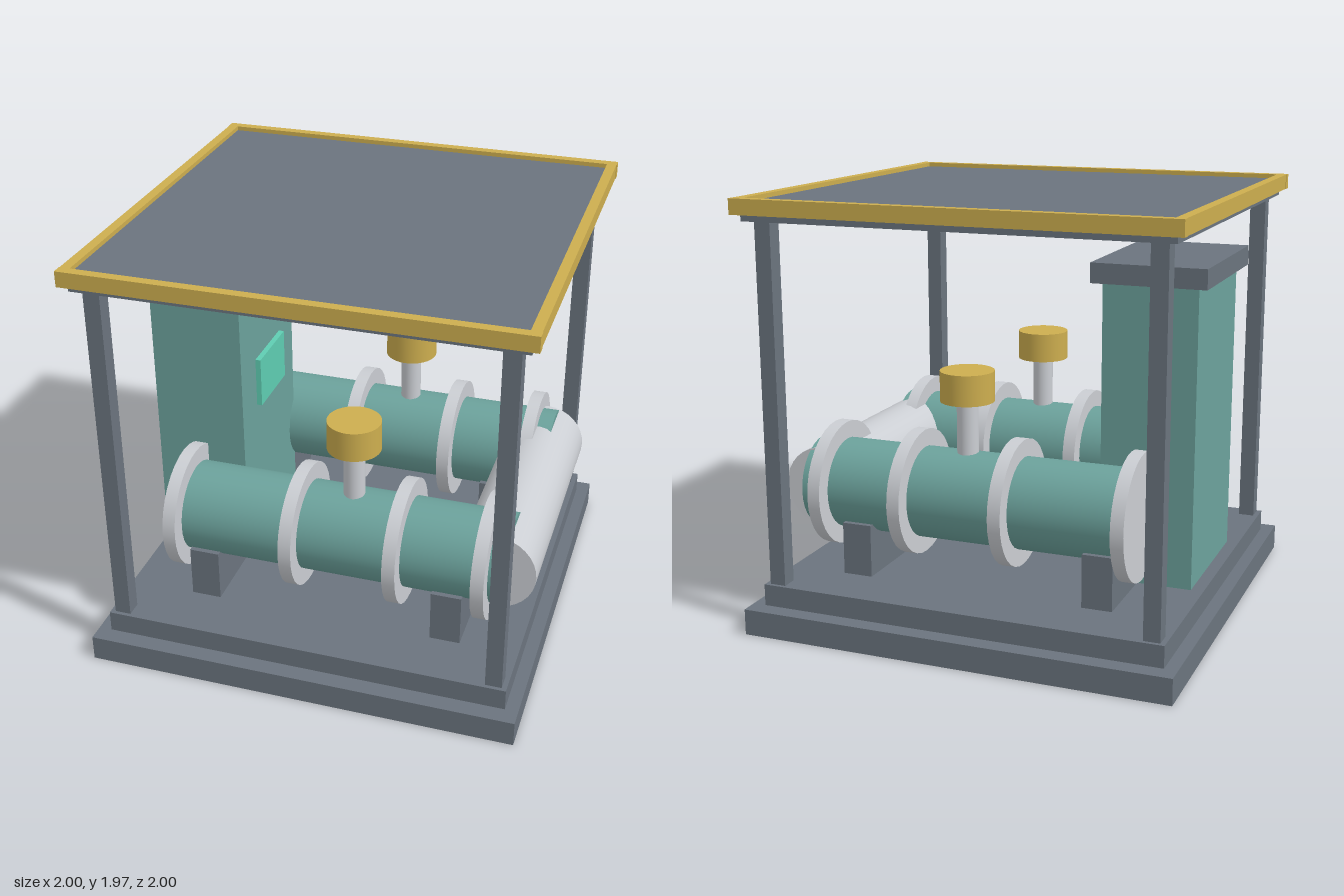
import * as THREE from 'three';

const paint = (name, color) => {
  const m = new THREE.MeshStandardMaterial({ color });
  m.name = name;
  return m;
};

export function createModel() {
  const steel = paint('steelGrey', 0x6b747e);
  const teal = paint('teal', 0x6ca29c);
  const mint = paint('mintScreen', 0x5fcdb2);
  const gold = paint('gold', 0xcdae4f);
  const pale = paint('paleMetal', 0xcbced3);

  const model = new THREE.Group();
  model.name = 'pumpShelter';

  // Box given by its lower and upper limits on each axis
  const box = (name, mat, [x0, x1], [y0, y1], [z0, z1], parent = model) => {
    const mesh = new THREE.Mesh(new THREE.BoxGeometry(x1 - x0, y1 - y0, z1 - z0), mat);
    mesh.position.set((x0 + x1) / 2, (y0 + y1) / 2, (z0 + z1) / 2);
    mesh.name = name;
    parent.add(mesh);
  };

  // Cylinder of given radius and length, along the named axis
  const cylinder = (name, mat, axis, r, length, x, y, z, parent = model) => {
    const geo = new THREE.CylinderGeometry(r, r, length, 32);
    if (axis === 'x') geo.rotateZ(-Math.PI / 2);
    if (axis === 'z') geo.rotateX(Math.PI / 2);
    const mesh = new THREE.Mesh(geo, mat);
    mesh.position.set(x, y, z);
    mesh.name = name;
    parent.add(mesh);
  };

  // Stepped base
  box('baseSlab', steel, [-1, 1], [0, 0.12], [-1, 1]);
  box('basePlatform', steel, [-0.94, 0.94], [0.12, 0.22], [-0.92, 0.92]);

  // Corner posts
  for (const sx of [-1, 1]) {
    for (const sz of [-1, 1]) {
      const x = sx * 0.88, z = sz * 0.865, h = 0.0375;
      box('post', steel, [x - h, x + h], [0.22, 1.875], [z - h, z + h]);
    }
  }

  // Canopy with a raised trim
  box('roofPanel', steel, [-0.96, 0.96], [1.87, 1.95], [-0.94, 0.94]);
  for (const s of [-1, 1]) {
    const z = s * 0.9525, x = s * 0.97;
    box('roofTrim', gold, [-0.995, 0.995], [1.9, 1.97], [z - 0.0225, z + 0.0225]);
    box('roofTrim', gold, [x - 0.0225, x + 0.0225], [1.9, 1.97], [-0.93, 0.93]);
  }

  // Control cabinet
  const cabinet = new THREE.Group();
  cabinet.name = 'cabinet';
  model.add(cabinet);
  box('cabinetBody', teal, [-0.895, -0.465], [0.24, 1.6], [-0.34, 0.34], cabinet);
  box('cabinetCap', steel, [-0.94, -0.42], [1.6, 1.69], [-0.38, 0.38], cabinet);
  box('cabinetScreen', mint, [-0.467, -0.44], [1.0, 1.24], [-0.16, 0.16], cabinet);

  // Two tanks with rings, saddles and valves
  const axisY = 0.605;
  for (const side of [-1, 1]) {
    const tank = new THREE.Group();
    tank.name = side > 0 ? 'frontTank' : 'backTank';
    tank.position.z = side * 0.48;
    model.add(tank);
    cylinder('tankBody', teal, 'x', 0.21, 1.55, 0.085, axisY, 0, tank);
    for (const x of [-0.68, -0.123, 0.36, 0.758]) {
      cylinder('tankRing', pale, 'x', 0.29, 0.06, x, axisY, 0, tank);
    }
    for (const x of [-0.56, 0.6]) {
      box('saddle', steel, [x - 0.07, x + 0.07], [0.22, 0.465], [-0.18, 0.18], tank);
    }
    cylinder('valveStem', pale, 'y', 0.049, 0.29, 0.118, 0.915, 0, tank);
    cylinder('valveCap', gold, 'y', 0.123, 0.14, 0.118, 1.122, 0, tank);
  }

  // Pipe joining the tank ends
  cylinder('crossPipe', pale, 'z', 0.187, 1.2, 0.8, axisY, 0);

  return model;
}
